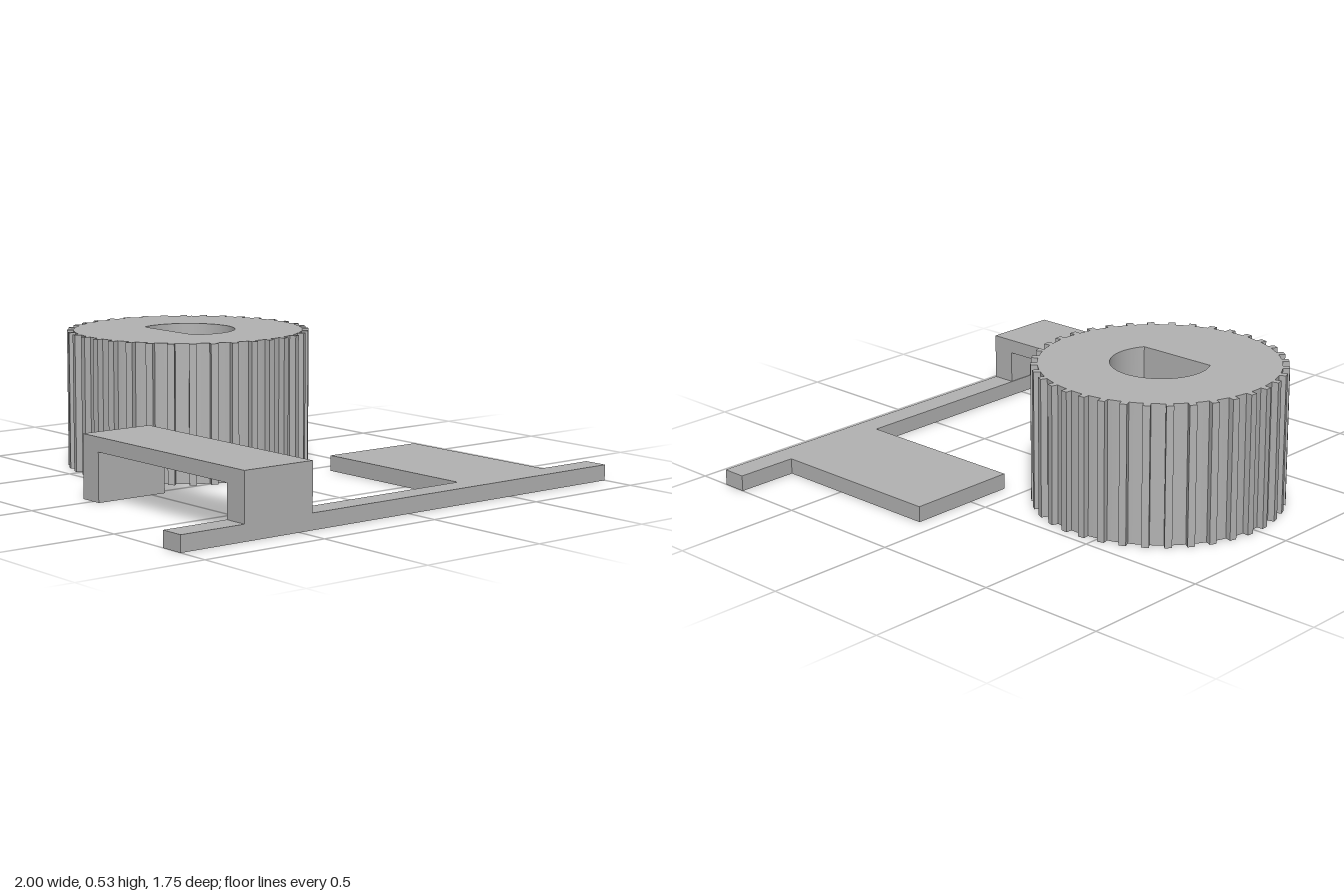
import * as THREE from 'three';

const grey = new THREE.MeshStandardMaterial({ color: 0xb3b3b3 });
grey.name = 'plain grey';

function polygon(points) {
  return new THREE.Shape(points.map(([x, y]) => new THREE.Vector2(x, y)));
}

function extrude(name, shape, depth) {
  const geometry = new THREE.ExtrudeGeometry(shape, { depth, bevelEnabled: false, curveSegments: 64 });
  const mesh = new THREE.Mesh(geometry, grey);
  mesh.name = name;
  return mesh;
}

// Ribbed wheel with straight square teeth and a D-shaped bore
function makeWheel() {
  const teeth = 36, root = 0.445, tip = 0.47, half = 0.0135;
  const step = (Math.PI * 2) / teeth;
  const outline = [];
  for (let i = 0; i < teeth; i++) {
    const a = (i + 0.5) * step;
    const c = Math.cos(a), s = Math.sin(a);
    const rootX = Math.sqrt(root * root - half * half);
    for (const [r, t] of [[rootX, -half], [tip, -half], [tip, half], [rootX, half]]) {
      outline.push([r * c - t * s, r * s + t * c]);
    }
    // rounded floor between neighbouring teeth
    for (const f of [0.4, 0.5, 0.6]) {
      outline.push([root * Math.cos(a + f * step), root * Math.sin(a + f * step)]);
    }
  }
  const shape = polygon(outline);

  const bore = 0.183, flat = Math.acos(-0.094 / bore);
  const hole = new THREE.Path();
  hole.absarc(0, 0, bore, flat, -flat, true);
  hole.closePath();
  shape.holes.push(hole);

  const wheel = extrude('toothedWheel', shape, 0.53);
  wheel.geometry.rotateX(-Math.PI / 2);
  wheel.position.z = -0.405;
  return wheel;
}

// Long front bar and the flat tongue in one plate, outlined in x and -z
function makeBase() {
  const base = extrude('basePlate', polygon([
    [-1, -0.872], [1, -0.872], [1, -0.777], [0.76, -0.777],
    [0.76, -0.075], [0.323, -0.075], [0.323, -0.777], [-1, -0.777],
  ]), 0.06);
  base.geometry.rotateX(-Math.PI / 2);
  return base;
}

// Raised bridge: front leg on the bar, rear leg on the ground, outlined in z and y
function makeBridge() {
  const bridge = extrude('bridge', polygon([
    [-0.06, 0], [0.035, 0], [0.035, 0.185], [0.78, 0.185],
    [0.78, 0.06], [0.872, 0.06], [0.872, 0.24], [-0.06, 0.24],
  ]), 0.294);
  bridge.geometry.rotateY(-Math.PI / 2);
  bridge.position.x = -0.443;
  return bridge;
}

export function createModel() {
  const model = new THREE.Group();
  model.name = 'wheelAndBracket';
  model.add(makeWheel(), makeBase(), makeBridge());
  return model;
}
